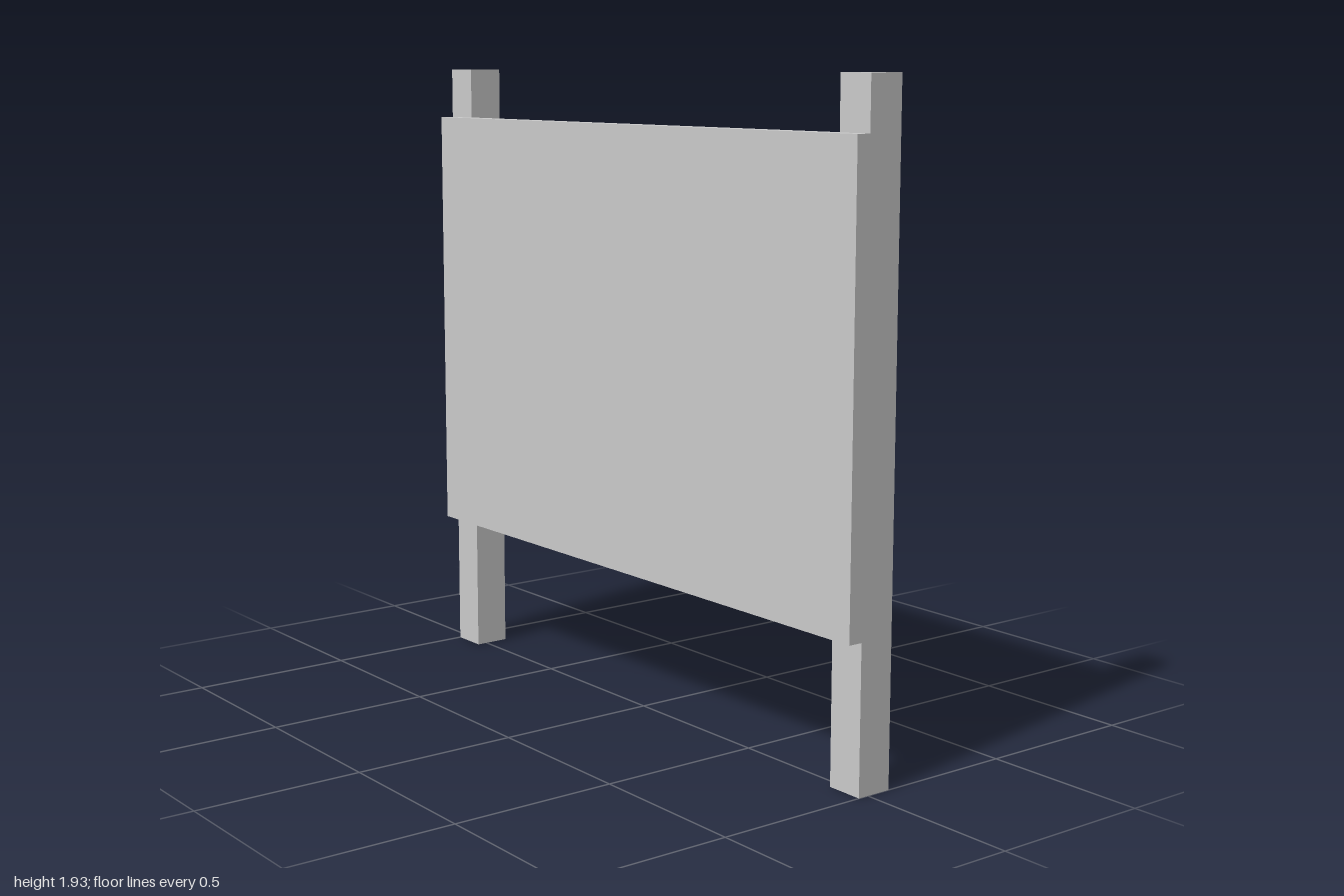
import * as THREE from 'three';

const material = new THREE.MeshStandardMaterial({ color: 0xcccccc, flatShading: true, side: THREE.DoubleSide });

// Box given by its minimum and maximum corners
function block(name, [x0, y0, z0], [x1, y1, z1]) {
  const geometry = new THREE.BoxGeometry(x1 - x0, y1 - y0, z1 - z0);
  geometry.translate((x0 + x1) / 2, (y0 + y1) / 2, (z0 + z1) / 2);
  const mesh = new THREE.Mesh(geometry, material);
  mesh.name = name;
  return mesh;
}

// Removes the downward face, leaving a hollow post end
function openBottom(mesh) {
  const index = Array.from(mesh.geometry.index.array);
  index.splice(18, 6);
  mesh.geometry.setIndex(index);
  mesh.geometry.clearGroups();
  return mesh;
}

export function createModel() {
  const group = new THREE.Group();
  group.name = 'signBoard';

  // Front panel, slightly let into the posts
  group.add(block('panel', [-1, 0.433, 0.021], [1, 1.78, 0.077]));

  // Two hollow posts
  group.add(openBottom(block('leftPost', [0.885, 0, -0.077], [1, 1.935, 0.033])));
  group.add(openBottom(block('rightPost', [-1, 0, -0.077], [-0.885, 1.935, 0.033])));

  // Horizontal rails behind the panel
  for (const [name, y] of [['upperRail', 1.36], ['lowerRail', 0.776]]) {
    group.add(block(name, [-0.885, y, -0.065], [0.885, y + 0.111, 0.021]));
  }

  return group;
}
